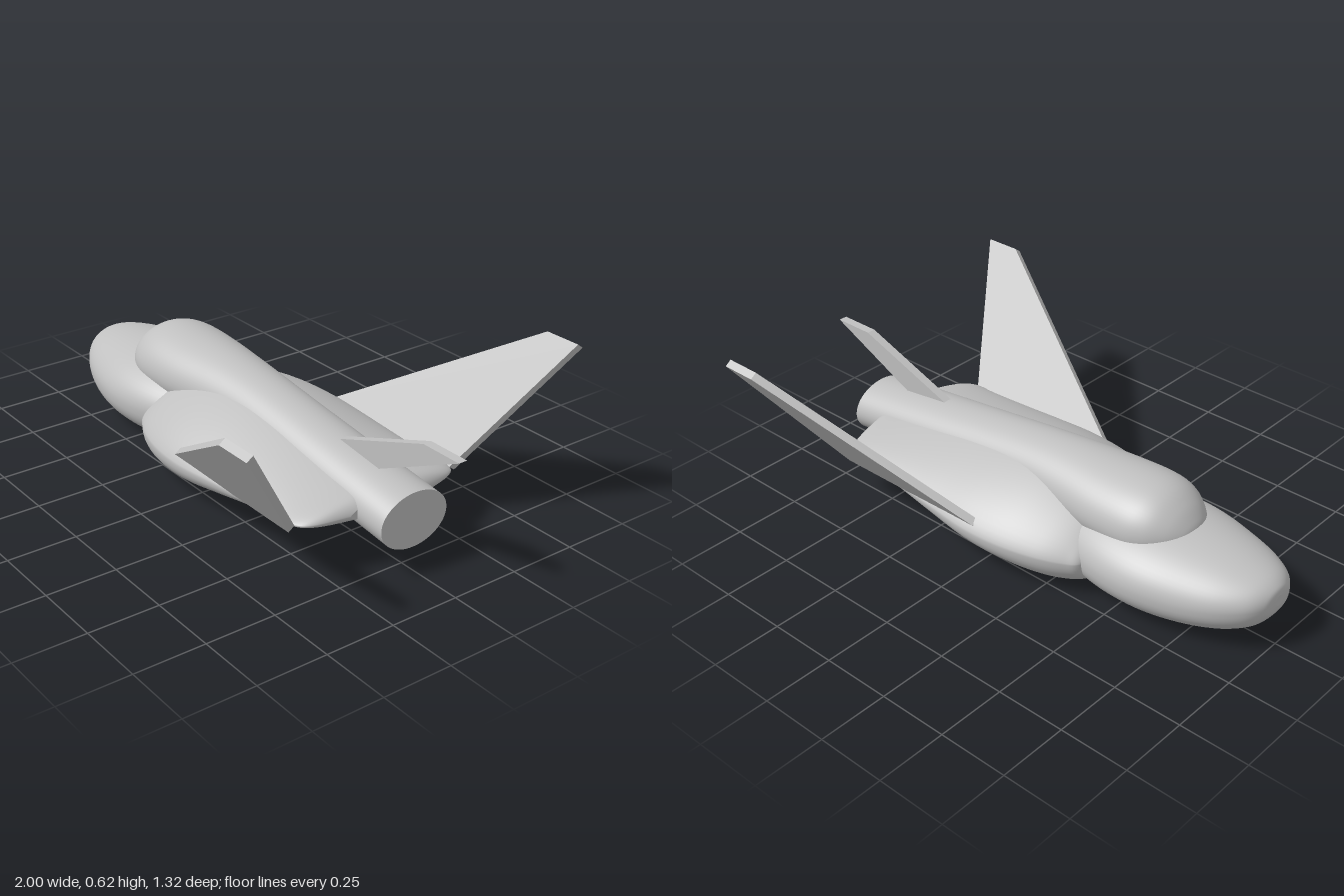
import * as THREE from 'three';

const hull = new THREE.MeshStandardMaterial({ color: 0xc0c0c0 });
hull.name = 'hullGrey';

// Smooth hull along x through stations [x, halfWidth, bottom, widestY, top, keelLift];
// pTop and pBottom set how full the upper and lower halves are.
function loft(name, stations, pTop, pBottom, steps = 72, sides = 64) {
  const pair = (i, j) => new THREE.SplineCurve(stations.map(s => new THREE.Vector2(s[i], s[j])));
  const plan = pair(0, 1), heights = pair(2, 4), extra = pair(3, 5);
  const pos = [], index = [];
  for (let i = 0; i <= steps; i++) {
    const t = i / steps;
    const a = plan.getPoint(t), h = heights.getPoint(t), e = extra.getPoint(t);
    const w = Math.max(a.y, 0.002);
    for (let j = 0; j < sides; j++) {
      const ang = (j / sides) * Math.PI * 2, c = Math.cos(ang), s = Math.sin(ang);
      const k = 2 / (s >= 0 ? pTop : pBottom);
      const z = w * Math.sign(c) * Math.abs(c) ** k;
      const lift = s < 0 ? e.y * Math.exp(-((z / 0.1) ** 2)) : 0;
      const y = s >= 0 ? e.x + (h.y - e.x) * s ** k
        : e.x - (e.x - h.x) * (-s) ** k * (1 - lift);
      pos.push(a.x, y, z);
    }
  }
  for (let i = 0; i < steps; i++) for (let j = 0; j < sides; j++) {
    const a = i * sides + j, b = i * sides + (j + 1) % sides;
    index.push(a, a + sides, b, b, a + sides, b + sides);
  }
  // Flat end caps with their own vertices
  for (const [ring, flip] of [[0, true], [steps, false]]) {
    const base = pos.length / 3;
    for (let j = 0; j < sides; j++) {
      const q = (ring * sides + j) * 3;
      pos.push(pos[q], pos[q + 1], pos[q + 2]);
    }
    const st = stations[flip ? 0 : stations.length - 1];
    pos.push(st[0], st[3], 0);
    for (let j = 0; j < sides; j++) {
      const a = base + j, b = base + (j + 1) % sides;
      index.push(base + sides, flip ? a : b, flip ? b : a);
    }
  }
  const g = new THREE.BufferGeometry();
  g.setAttribute('position', new THREE.Float32BufferAttribute(pos, 3));
  g.setIndex(index);
  g.computeVertexNormals();
  const mesh = new THREE.Mesh(g, hull);
  mesh.name = name;
  return mesh;
}

// Flat plate: outline in (x, span), span direction (0, uy, uz), root at (y, z)
function plate(name, outline, uy, uz, y, z, thick) {
  const shape = new THREE.Shape(outline.map(p => new THREE.Vector2(...p)));
  const g = new THREE.ExtrudeGeometry(shape, { depth: thick, bevelEnabled: false });
  g.translate(0, 0, -thick / 2);
  g.applyMatrix4(new THREE.Matrix4().makeBasis(
    new THREE.Vector3(1, 0, 0), new THREE.Vector3(0, uy, uz), new THREE.Vector3(0, -uz, uy)));
  g.translate(0, y, z);
  const mesh = new THREE.Mesh(g, hull);
  mesh.name = name;
  return mesh;
}

export function createModel() {
  const group = new THREE.Group();
  group.name = 'spaceplane';

  // Rounded nose
  group.add(loft('nose', [
    [-1, 0.02, 0.17, 0.19, 0.21, 0],
    [-0.99, 0.07, 0.135, 0.185, 0.235, 0],
    [-0.95, 0.125, 0.09, 0.18, 0.26, 0],
    [-0.87, 0.178, 0.055, 0.17, 0.28, 0],
    [-0.76, 0.22, 0.033, 0.16, 0.297, 0],
    [-0.64, 0.248, 0.02, 0.16, 0.31, 0],
    [-0.53, 0.255, 0.017, 0.16, 0.315, 0],
    [-0.41, 0.24, 0.015, 0.16, 0.31, 0],
    [-0.28, 0.2, 0.018, 0.16, 0.29, 0],
    [-0.12, 0.13, 0.05, 0.16, 0.26, 0],
    [0.02, 0.02, 0.14, 0.16, 0.18, 0],
  ], 2, 2.3));

  // Broad lifting body with twin bulges underneath
  group.add(loft('liftingBody', [
    [-0.4, 0.14, 0.08, 0.15, 0.2, 0.1],
    [-0.385, 0.235, 0.04, 0.15, 0.25, 0.2],
    [-0.34, 0.275, 0.012, 0.15, 0.3, 0.25],
    [-0.25, 0.32, 0.002, 0.155, 0.335, 0.28],
    [-0.12, 0.355, 0.012, 0.16, 0.36, 0.28],
    [0.03, 0.367, 0.033, 0.165, 0.36, 0.28],
    [0.2, 0.355, 0.07, 0.175, 0.34, 0.25],
    [0.38, 0.338, 0.115, 0.185, 0.31, 0.15],
    [0.52, 0.328, 0.15, 0.19, 0.285, 0],
    [0.61, 0.322, 0.168, 0.195, 0.27, 0],
    [0.655, 0.275, 0.174, 0.2, 0.262, 0],
    [0.685, 0.16, 0.18, 0.205, 0.25, 0],
  ], 1.45, 2.2));

  // Canopy running back into the engine tube
  group.add(loft('fuselage', [
    [-0.675, 0.02, 0.26, 0.28, 0.295, 0],
    [-0.66, 0.07, 0.23, 0.28, 0.325, 0],
    [-0.62, 0.12, 0.2, 0.28, 0.37, 0],
    [-0.56, 0.16, 0.17, 0.28, 0.407, 0],
    [-0.48, 0.178, 0.15, 0.28, 0.42, 0],
    [-0.34, 0.175, 0.15, 0.28, 0.417, 0],
    [-0.17, 0.155, 0.16, 0.28, 0.41, 0],
    [0, 0.138, 0.17, 0.28, 0.395, 0],
    [0.2, 0.134, 0.16, 0.26, 0.37, 0],
    [0.4, 0.134, 0.14, 0.24, 0.343, 0],
    [0.6, 0.134, 0.12, 0.217, 0.317, 0],
    [0.8, 0.134, 0.098, 0.195, 0.292, 0],
  ], 2, 2));

  // Upswept wings
  for (const [side, name] of [[1, 'leftWing'], [-1, 'rightWing']]) {
    group.add(plate(name, [[-0.03, 0], [0.61, 0], [0.833, 0.54], [0.7, 0.54]],
      0.809, 0.588 * side, 0.187, 0.333 * side, 0.028));
  }

  // Swept centre fin
  group.add(plate('tailFin', [[0.38, 0.31], [0.58, 0.28], [0.995, 0.48], [0.84, 0.48]],
    1, 0, 0, 0, 0.032));

  return group;
}
